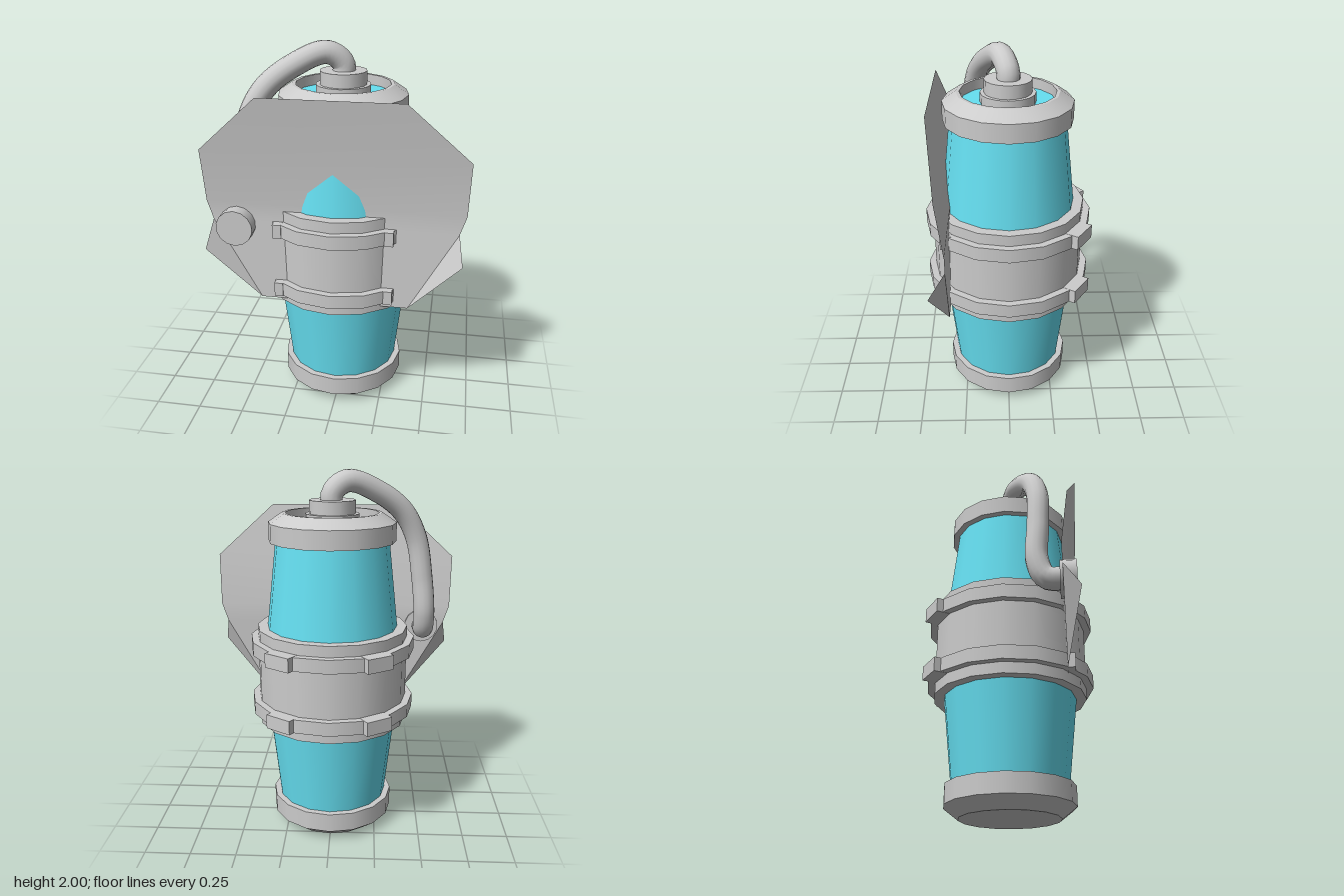
import * as THREE from 'three';

const SIDES = 16;

export function createModel() {
  const model = new THREE.Group();
  const grey = new THREE.MeshStandardMaterial({ color: 0xcccccc });
  const blue = new THREE.MeshStandardMaterial({ color: 0x66e0f2 });
  const sheet = new THREE.MeshStandardMaterial({ color: 0xcccccc, side: THREE.DoubleSide });

  const add = (name, geometry, material = grey, parent = model) => {
    const mesh = new THREE.Mesh(geometry, material);
    mesh.name = name;
    parent.add(mesh);
    return mesh;
  };

  // Upright drum between two heights, with its own radius at each end
  const drum = (name, y0, y1, r0, r1 = r0, material = grey, open = false) => {
    const g = new THREE.CylinderGeometry(r1, r0, y1 - y0, SIDES, 1, open);
    return add(name, g.translate(0, (y0 + y1) / 2, 0), material);
  };

  // Tank bottom, tapered glass and top
  drum('bottomCapBevel', 0, 0.06, 0.265, 0.342);
  drum('bottomCap', 0.06, 0.165, 0.342);
  drum('lowerGlass', 0.165, 0.64, 0.308, 0.36, blue);
  drum('upperGlass', 1.155, 1.64, 0.36, 0.306, blue);

  // Top cap with a recessed centre
  const capParts = [
    [[0.25, 1.63], [0.342, 1.63]],
    [[0.342, 1.63], [0.342, 1.73]],
    [[0.342, 1.73], [0.268, 1.78]],
    [[0.268, 1.78], [0.25, 1.78]],
    [[0.25, 1.78], [0.25, 1.71]],
  ];
  for (const part of capParts) {
    const points = part.map(([r, y]) => new THREE.Vector2(r, y));
    add('topCap', new THREE.LatheGeometry(points, SIDES), sheet);
  }
  drum('recessedGlass', 1.64, 1.725, 0.25, 0.25, blue);
  drum('hoseCollarBase', 1.725, 1.775, 0.145);
  drum('hoseCollar', 1.775, 1.845, 0.124);

  // Central band with two raised hoops
  drum('centralBand', 0.63, 1.165, 0.414);
  for (const y of [0.69, 1.03]) {
    drum('hoop', y, y + 0.075, 0.453);
    for (const side of [-1, 1]) {
      // Clips on the back of the hoop
      const clip = add('hoopClip', new THREE.BoxGeometry(0.155, 0.077, 0.09));
      const angle = Math.PI - side * 0.588;
      clip.position.set(Math.sin(angle) * 0.435, y + 0.0375, Math.cos(angle) * 0.435);
      clip.rotation.y = angle;
      // Stops where the hoop meets the shield
      const stop = add('hoopStop', new THREE.BoxGeometry(0.046, 0.077, 0.06));
      stop.position.set(side * 0.293, y + 0.0375, 0.33);
    }
  }

  // Shield: bent plate from rows of [height, half width, depth]
  const rows = [
    [0.655, 0.397, 0.32],
    [1.1, 0.645, 0.312],
    [1.2, 0.677, 0.31],
    [1.49, 0.685, 0.346],
    [1.78, 0.365, 0.394],
  ];
  const positions = [];
  const indices = [];
  rows.forEach(([y, w, z], i) => {
    positions.push(-w, y, z, w, y, z);
    if (i) {
      const a = 2 * (i - 1);
      indices.push(a, a + 1, a + 3, a, a + 3, a + 2);
    }
  });
  const plate = new THREE.BufferGeometry();
  plate.setAttribute('position', new THREE.Float32BufferAttribute(positions, 3));
  plate.setIndex(indices);
  plate.computeVertexNormals();
  add('shield', plate, sheet);

  // Lower side flaps folded forward
  for (const s of [-1, 1]) {
    const corners = [[0.397, 0.655, 0.32], [0.67, 0.96, 0.4], [0.645, 1.1, 0.312]];
    if (s < 0) corners.reverse();
    const flap = new THREE.BufferGeometry().setFromPoints(
      corners.map(([x, y, z]) => new THREE.Vector3(s * x, y, z)));
    flap.computeVertexNormals();
    add('shieldFlap', flap, sheet);
  }

  // Hose from the top collar round to the shield
  const path = new THREE.CatmullRomCurve3([
    [0, 1.8, 0], [0, 1.88, 0], [-0.08, 1.94, 0.033], [-0.24, 1.88, 0.1],
    [-0.38, 1.77, 0.16], [-0.46, 1.62, 0.19], [-0.5, 1.4, 0.19],
    [-0.52, 1.19, 0.185], [-0.52, 1.09, 0.23], [-0.52, 1.08, 0.33],
  ].map((p) => new THREE.Vector3(...p)));
  add('hose', new THREE.TubeGeometry(path, 60, 0.06, 14));
  const fitting = add('hoseFitting', new THREE.CylinderGeometry(0.098, 0.098, 0.085, 14));
  fitting.rotation.x = Math.PI / 2;
  fitting.position.set(-0.515, 1.08, 0.34);

  return model;
}
